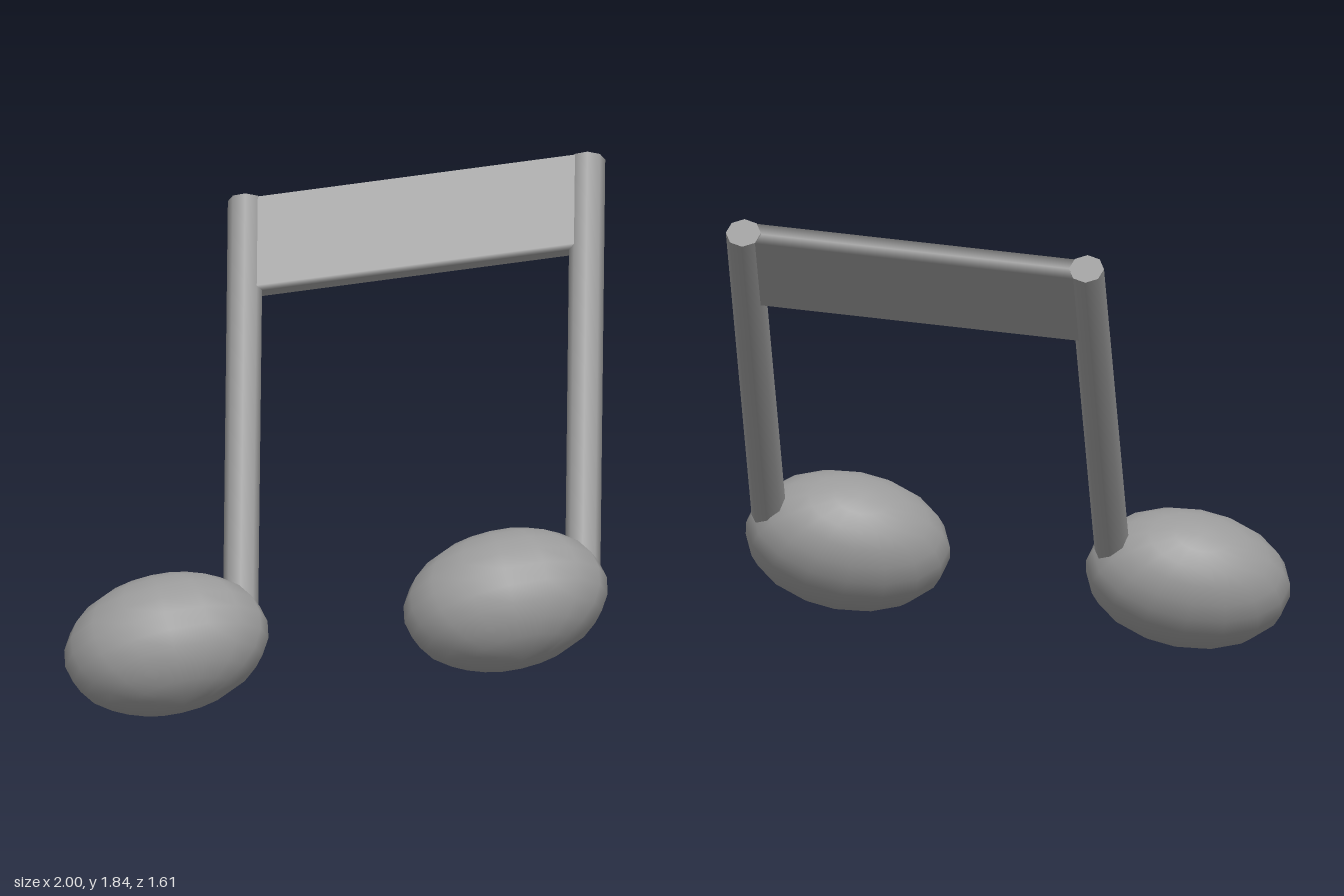
import * as THREE from 'three';

const R = 0.065; // stem radius
const T = 0.046; // half the thickness of the beam, the width of a stem's inner faces

// One entry per note; heights are measured along the leaning stems
const NOTES = [
  { side: 'right', headX: -0.63, headY: -0.15, stemX: -0.358, top: 1.683 },
  { side: 'left', headX: 0.618, headY: 0.038, stemX: 0.901, top: 1.861 },
];

// Beam section: [at the top edge, z, normal y, normal z], with a ridge line along each edge
const SECTION = [
  [true, 0, 1, 0], [true, T, 0, 1], [false, T, 0, 1],
  [false, 0, -1, 0], [false, -T, 0, -1], [true, -T, 0, -1],
];

// Slanted bar between the inner faces of the stems, flush with their tops
function beamGeometry(a, b) {
  const sides = SECTION.length;
  const geo = new THREE.CylinderGeometry(1, 1, 1, sides, 1, true);
  const pos = geo.attributes.position;
  const nor = geo.attributes.normal;
  for (let i = 0; i < pos.count; i++) {
    const atA = i > sides;
    const end = atA ? a : b;
    const [upper, z, ny, nz] = SECTION[(i % (sides + 1)) % sides];
    pos.setXYZ(i, end.stemX + (atA ? T : -T), end.top - (upper ? 0.003 : 0.371), z);
    nor.setXYZ(i, 0, ny, nz);
  }
  return geo;
}

export function createModel() {
  const model = new THREE.Group();
  model.name = 'beamedNotes';
  const material = new THREE.MeshStandardMaterial({ color: 0x9a9a9a });

  // The whole symbol leans backwards
  const symbol = new THREE.Group();
  symbol.name = 'leaningSymbol';
  symbol.rotation.x = -THREE.MathUtils.degToRad(40.1);
  symbol.position.set(0, 0.585 * 0.643, 0.585 * 0.766);
  model.add(symbol);

  const add = (name, geometry) => {
    const mesh = new THREE.Mesh(geometry, material);
    mesh.name = name;
    symbol.add(mesh);
    return mesh;
  };

  for (const n of NOTES) {
    // Oval head, tipped up towards its stem
    const head = add(n.side + 'NoteHead', new THREE.SphereGeometry(1, 16, 12));
    head.scale.set(0.384, 0.262, 0.256);
    head.rotation.z = THREE.MathUtils.degToRad(14.5);
    head.position.set(n.headX, n.headY, 0);

    // Eight-sided stem, its foot buried in the head
    const foot = n.headY + 0.07;
    const stem = add(n.side + 'Stem', new THREE.CylinderGeometry(R, R, n.top - foot, 8));
    stem.position.set(n.stemX, (n.top + foot) / 2, 0);
  }

  add('beam', beamGeometry(NOTES[0], NOTES[1]));
  return model;
}
